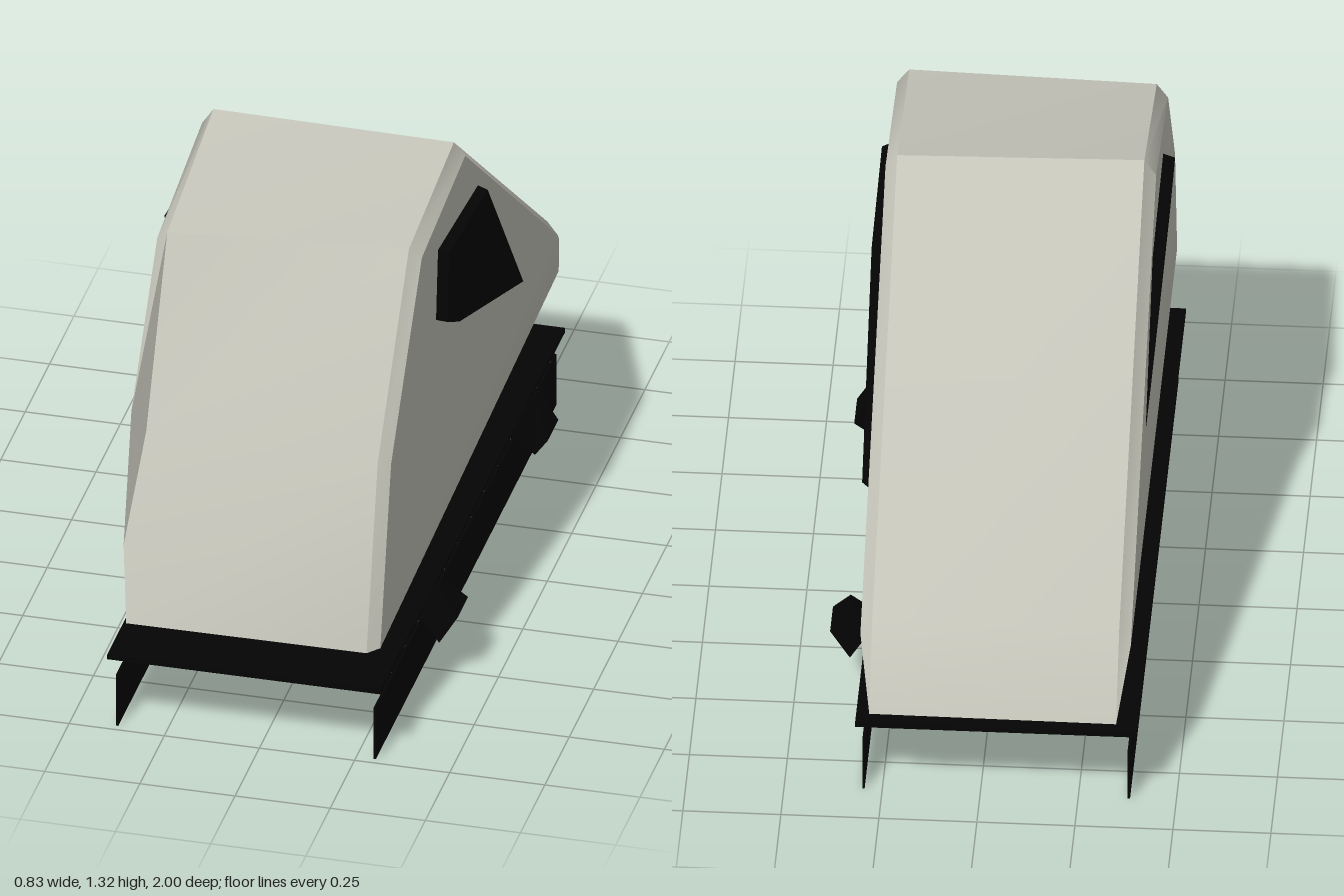
import * as THREE from 'three';
import { toCreasedNormals } from 'three/addons/utils/BufferGeometryUtils.js';

const paint = new THREE.MeshStandardMaterial({ color: 0xc4c4b9 });
paint.name = 'pale grey paint';
const black = new THREE.MeshStandardMaterial({ color: 0x040404 });
black.name = 'black';

// Joins closed sections of equal point count and caps both ends.
// Points run clockwise as seen from outside the first section.
function loft(sections, crease) {
  const pos = [];
  const tri = (a, b, c) => {
    const v = [a, b, c].map((p) => new THREE.Vector3(...p));
    const area = v[1].clone().sub(v[0]).cross(v[2].clone().sub(v[0])).length();
    if (area > 1e-7) pos.push(...a, ...b, ...c);
  };
  const n = sections[0].length;
  for (let s = 0; s < sections.length - 1; s++) {
    const a = sections[s], b = sections[s + 1];
    for (let i = 0; i < n; i++) {
      const j = (i + 1) % n;
      tri(b[i], a[i], a[j]);
      tri(b[i], a[j], b[j]);
    }
  }
  const first = sections[0], last = sections[sections.length - 1];
  for (let i = 1; i < n - 1; i++) {
    tri(first[0], first[i + 1], first[i]);
    tri(last[0], last[i], last[i + 1]);
  }
  const g = new THREE.BufferGeometry();
  g.setAttribute('position', new THREE.Float32BufferAttribute(pos, 3));
  g.computeVertexNormals();
  return crease ? toCreasedNormals(g, crease) : g;
}

function add(group, name, geometry, material) {
  const mesh = new THREE.Mesh(geometry, material);
  mesh.name = name;
  group.add(mesh);
  return mesh;
}

export function createModel() {
  const model = new THREE.Group();
  model.name = 'wedgeVehicle';

  // Hull: side profiles as [z, y], bevelled towards each flank;
  // the front edge is straight on one side and bent on the other
  const at = (x, profile) => profile.map(([z, y]) => [x, y, z]);
  const hull = [
    at(0.305, [[0.95, 0.31], [0.84, 0.79], [0.525, 1.22], [0.08, 1.27], [-0.87, 0.5], [-0.88, 0.485]]),
    at(0.275, [[0.975, 0.305], [0.86, 0.8], [0.54, 1.25], [0.08, 1.305], [-0.88, 0.53], [-0.995, 0.32]]),
    at(-0.355, [[0.98, 0.305], [0.775, 0.755], [0.56, 1.22], [0.085, 1.315], [-0.88, 0.53], [-1.0, 0.32]]),
    at(-0.385, [[0.89, 0.48], [0.81, 0.83], [0.545, 1.19], [0.085, 1.27], [-0.87, 0.5], [-0.88, 0.485]]),
  ];
  add(model, 'hull', loft(hull, 0.6), paint);

  // Side windows: outline as [z, y], outer face slightly smaller
  const outline = [[0.38, 0.955], [0.36, 1.15], [-0.05, 1.11], [-0.43, 0.615], [0.25, 0.875]];
  const inset = outline.map(([z, y]) => [0.08 + (z - 0.08) * 0.96, 0.94 + (y - 0.94) * 0.96]);
  add(model, 'leftWindow', loft([at(0.332, inset), at(0.303, outline)]), black);
  // The opposite window leans outwards at the top and sinks into the flank below
  const lean = (y) => -0.415 + (1.13 - y) * 0.08;
  const outer = inset.map(([z, y]) => [lean(y), y, z]);
  add(model, 'rightWindow', loft([at(-0.37, outline), outer]), black);

  // Floor plate and two upright runners
  const floor = add(model, 'floorPlate', new THREE.BoxGeometry(0.718, 0.014, 1.89), black);
  floor.position.set(-0.041, 0.211, 0.055);
  for (const [name, x] of [['leftRunner', 0.298], ['rightRunner', -0.379]]) {
    const runner = add(model, name, new THREE.BoxGeometry(0.006, 0.15, 1.85), black);
    runner.position.set(x, 0.075, 0.055);
  }

  // Small faceted knobs along one edge of the floor, facing each other
  const knobRing = (zPeak, zSide) => [
    [0, 0.085, zPeak], [0.05, 0, zSide], [0, -0.085, zPeak], [-0.05, 0, zSide],
  ];
  const knob = loft([knobRing(-0.005, 0.06), knobRing(-0.042, -0.05)]);
  for (const [name, z, turn] of [['frontKnob', 0.52, Math.PI], ['rearKnob', -0.415, 0]]) {
    const mesh = add(model, name, knob, black);
    mesh.position.set(0.36, 0.2, z);
    mesh.rotation.y = turn;
  }
  return model;
}
